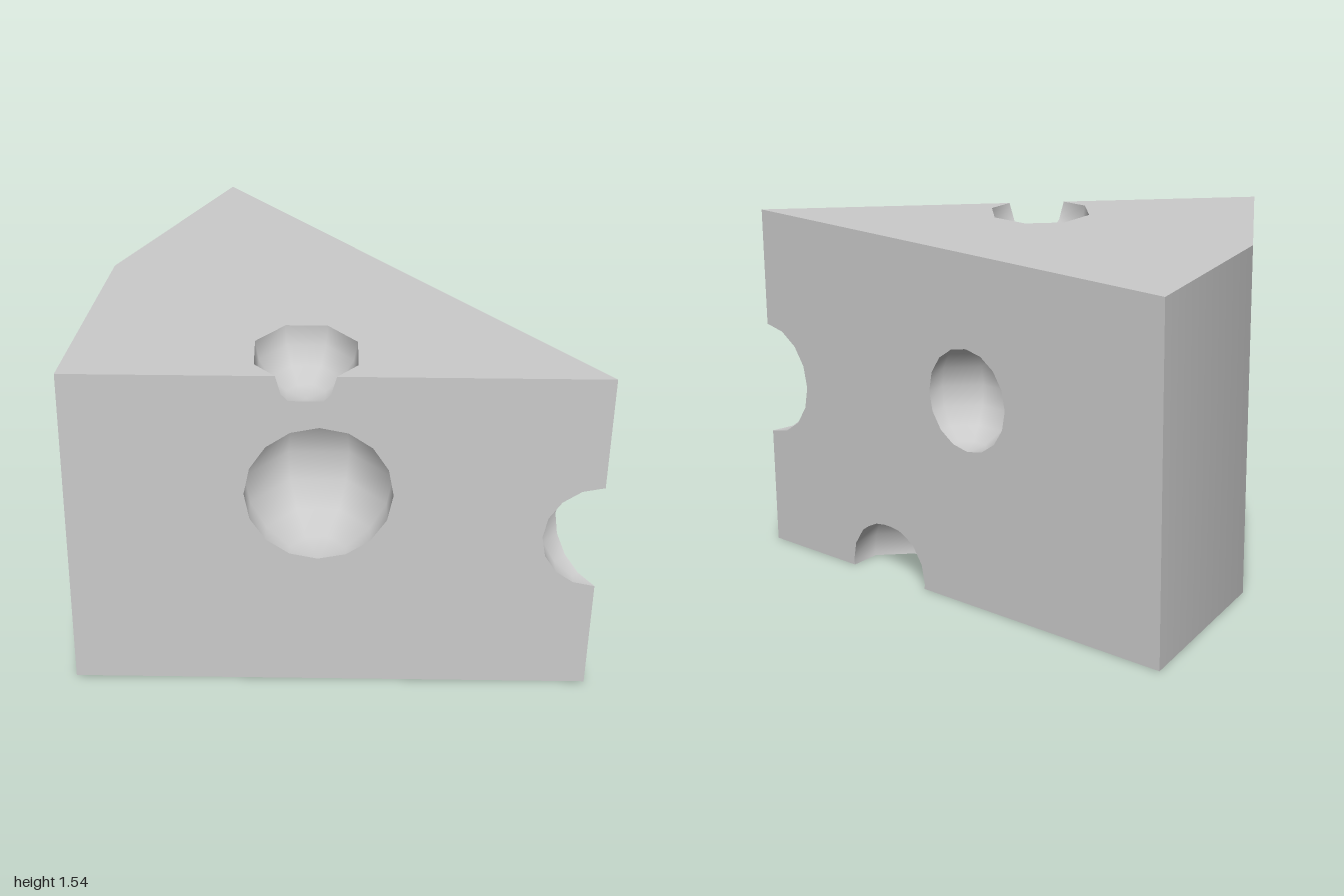
import * as THREE from 'three';

const HEIGHT = 1.54;
// wedge footprint (x, z), counter-clockwise from above: tip, right back, rind middle, left
const FOOTPRINT = [[1, 1], [0.17, -1], [-0.53, -0.53], [-1, 0.17]];
// round holes: name, centre, radius
const HOLES = [
  ['frontHole', [-0.055, 0.975, 0.565], 0.325],
  ['rightHole', [0.555, 0.915, -0.08], 0.223],
  ['topHole', [-0.04, 1.542, 0.387], 0.22],
  ['tipHole', [0.999, 0.773, 0.998], 0.25],
  ['bottomHole', [0.69, 0.02, 0.375], 0.23],
];
const EPS = 1e-5;

// outer faces as corner loops with their planes
function wedgeFaces() {
  const ring = (y) => FOOTPRINT.map(([x, z]) => new THREE.Vector3(x, y, z));
  const low = ring(0), high = ring(HEIGHT);
  const loops = [high, [...low].reverse()];
  low.forEach((p, i) => {
    const j = (i + 1) % low.length;
    loops.push([p, low[j], high[j], high[i]]);
  });
  return loops.map((loop) => ({
    loop,
    plane: new THREE.Plane().setFromCoplanarPoints(loop[0], loop[1], loop[2]),
  }));
}

// keep the part of a polygon behind a plane
function clip(poly, plane) {
  const out = [];
  poly.forEach((a, i) => {
    const b = poly[(i + 1) % poly.length];
    const da = plane.distanceToPoint(a), db = plane.distanceToPoint(b);
    if (da <= EPS) out.push(a);
    if ((da > EPS && db < -EPS) || (da < -EPS && db > EPS)) {
      out.push(a.clone().lerp(b, da / (da - db)));
    }
  });
  return out;
}

// low-poly sphere cut down to the pieces lying inside the wedge
function holePieces(centre, radius, faces) {
  const pos = new THREE.SphereGeometry(radius, 8, 8).toNonIndexed().attributes.position;
  const pieces = [];
  for (let i = 0; i < pos.count; i += 3) {
    let poly = [0, 1, 2].map((k) => new THREE.Vector3().fromBufferAttribute(pos, i + k).add(centre));
    for (const f of faces) poly = clip(poly, f.plane);
    if (poly.length > 2) pieces.push(poly);
  }
  return pieces;
}

function meshFrom(name, points, normals, material) {
  const geometry = new THREE.BufferGeometry().setFromPoints(points);
  geometry.setAttribute('normal', new THREE.Float32BufferAttribute(normals.flatMap((n) => n.toArray()), 3));
  const mesh = new THREE.Mesh(geometry, material);
  mesh.name = name;
  return mesh;
}

// one outer face with its openings: closed holes inside, notches along an edge
function cutFace({ loop, plane }, holes) {
  const u = loop[1].clone().sub(loop[0]).normalize();
  const v = plane.normal.clone().cross(u);
  const flat = (p) => new THREE.Vector2(p.dot(u), p.dot(v));
  const corners = loop.map(flat);
  const inner = [];
  const notches = corners.map(() => []);

  for (const pieces of holes) {
    // rim of the hole on this face, sorted around its middle
    const rim = [];
    for (const p of pieces.flat()) {
      if (Math.abs(plane.distanceToPoint(p)) < 2 * EPS && !rim.some((q) => q.distanceTo(p) < 1e-4)) rim.push(p);
    }
    if (rim.length < 3) continue;
    const mid = flat(rim.reduce((s, p) => s.add(p), new THREE.Vector3()).divideScalar(rim.length));
    const angle = (p) => { const q = flat(p).sub(mid); return Math.atan2(q.y, q.x); };
    rim.sort((a, b) => angle(a) - angle(b));

    const edge = corners.findIndex((c, i) => {
      const dir = corners[(i + 1) % corners.length].clone().sub(c).normalize();
      return rim.filter((p) => Math.abs(dir.cross(flat(p).sub(c))) < 5e-5).length > 1;
    });
    if (edge < 0) { inner.push(rim); continue; }
    // start the rim at the rim point furthest along the edge, then walk it backwards
    const dir = loop[(edge + 1) % loop.length].clone().sub(loop[edge]).normalize();
    const onEdge = rim.filter((p) => {
      const d = p.clone().sub(loop[edge]);
      return d.cross(dir).length() < 5e-5;
    }).sort((a, b) => a.dot(dir) - b.dot(dir));
    const start = rim.indexOf(onEdge[onEdge.length - 1]);
    const chain = [...rim.slice(start), ...rim.slice(0, start)].reverse();
    notches[edge].push({ at: onEdge[0].dot(dir), chain });
  }

  const outline = loop.flatMap((p, i) => [p,
    ...notches[i].sort((a, b) => a.at - b.at).flatMap((n) => n.chain)]);
  const all = [outline, ...inner].flat();
  return THREE.ShapeUtils.triangulateShape(outline.map(flat), inner.map((h) => h.map(flat)))
    .flat().map((k) => all[k]);
}

export function createModel() {
  const group = new THREE.Group();
  group.name = 'cheeseWedge';
  const material = new THREE.MeshStandardMaterial({ color: 0xcccccc });
  const faces = wedgeFaces();
  const holes = HOLES.map(([, c, r]) => holePieces(new THREE.Vector3(...c), r, faces));

  // outer faces; the two rind faces share a smooth normal at their common edge
  const names = ['topFace', 'bottomFace', 'rightFace', 'rindRight', 'rindLeft', 'frontFace'];
  const rindNormal = faces[3].plane.normal.clone().add(faces[4].plane.normal).normalize();
  faces.forEach((face, i) => {
    const points = cutFace(face, holes);
    const isRind = names[i].startsWith('rind');
    const normals = points.map((p) => (isRind && Math.abs(p.x - FOOTPRINT[2][0]) < 1e-4
      ? rindNormal : face.plane.normal));
    group.add(meshFrom(names[i], points, normals, material));
  });

  // hollow hole walls, facing the hole centre with smooth normals
  HOLES.forEach(([name, c], i) => {
    const centre = new THREE.Vector3(...c);
    const points = [];
    for (const poly of holes[i]) {
      for (let k = 1; k < poly.length - 1; k++) points.push(poly[0], poly[k + 1], poly[k]);
    }
    const normals = points.map((p) => centre.clone().sub(p).normalize());
    group.add(meshFrom(name, points, normals, material));
  });
  return group;
}
